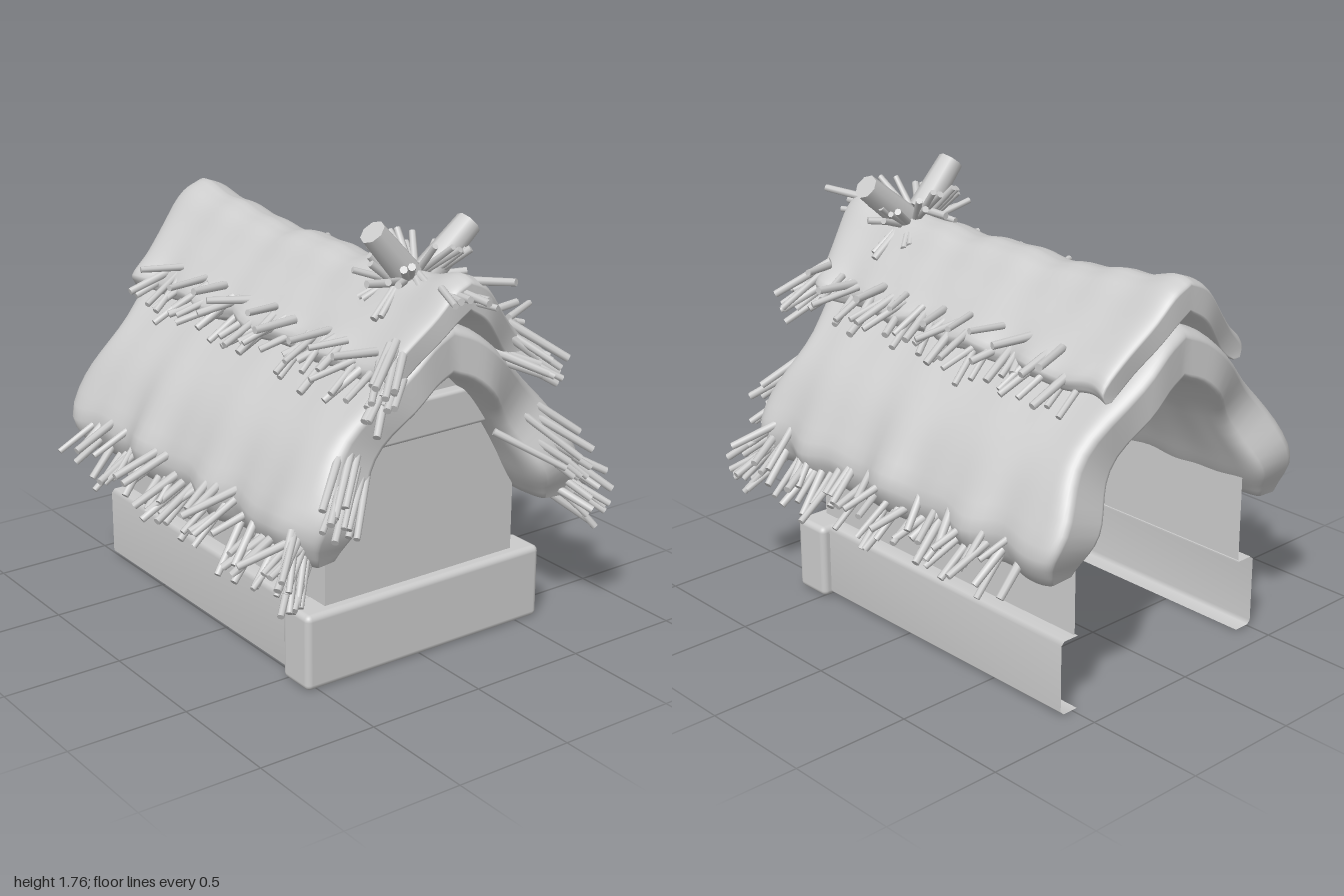
import * as THREE from 'three';
import { RoundedBoxGeometry } from 'three/addons/geometries/RoundedBoxGeometry.js';

const mat = new THREE.MeshStandardMaterial({ color: 0xcccccc, roughness: 0.9, side: THREE.DoubleSide });
const strawGeo = new THREE.CylinderGeometry(0.85, 1, 1, 8);
const UP = new THREE.Vector3(0, 1, 0);

let seed = 11;
const rnd = (a, b) => {
  seed = (seed * 16807) % 2147483647;
  return a + (b - a) * (seed / 2147483647);
};
const bell = x => Math.exp(-x * x);

function add(parent, name, geo, x = 0, y = 0, z = 0) {
  const m = new THREE.Mesh(geo, mat);
  m.name = name;
  m.position.set(x, y, z);
  parent.add(m);
  return m;
}

// A rod that starts at base and runs along dir
function rod(parent, name, base, dir, len, r) {
  const d = new THREE.Vector3(...dir).normalize();
  const m = add(parent, name, strawGeo);
  m.position.set(...base).addScaledVector(d, len / 2);
  m.quaternion.setFromUnitVectors(UP, d);
  m.scale.set(r, len, r);
}

function surface(pos, idx) {
  const g = new THREE.BufferGeometry();
  g.setAttribute('position', new THREE.Float32BufferAttribute(pos, 3));
  g.setIndex(idx);
  return g;
}

// Thatch layer: an arched cross-section swept along z, with soft ends and wavy edges
function thatch({ outer, inner, zFront, zBack, lift, phase, cx, flare, bulgeY }) {
  const N = 20, ROWS = 60, W = 2 * N + 1, ring = 2 * W;
  const sample = pts => {
    const c = new THREE.CatmullRomCurve3(pts.map(p => new THREE.Vector3(p[0], p[1], 0)));
    const half = c.getPoints(N);
    return [...half.slice(1).reverse().map(p => new THREE.Vector3(-p.x, p.y, 0)), ...half];
  };
  const out = sample(outer), inn = sample(inner);
  const pos = [], idx = [];
  const halfW = outer[outer.length - 2][0];
  for (let j = 0; j <= ROWS; j++) {
    const t = (1 - Math.cos(Math.PI * j / ROWS)) / 2;
    const z0 = zFront + (zBack - zFront) * t;
    const endDist = Math.max(0, Math.min(zFront - z0, z0 - zBack));
    const e = Math.min(1, endDist / 0.08);
    const full = 0.6 + 0.4 * Math.sqrt(1 - (1 - e) ** 2);
    const rise = lift * (0.8 * bell((zFront - z0) / 0.25) + 1.1 * bell((z0 - zBack) / 0.3))
      + 0.008 * Math.sin(z0 * 13 + phase) + 0.006 * Math.sin(z0 * 27);
    const edge = Math.max(0, 1 - endDist / 0.25);
    for (let k = 0; k < ring; k++) {
      const i = k < W ? k : ring - 1 - k;
      const p = (k < W ? out : inn)[i], q = (k < W ? inn : out)[i];
      const u = Math.min(1, Math.abs(p.x) / halfW), rim = u ** 5, side = Math.sign(p.x);
      const mx = (p.x + q.x) / 2, my = (p.y + q.y) / 2;
      const wave = Math.sin(z0 * 14 + phase + side) + 0.5 * Math.sin(z0 * 25 + 2 * side);
      const x = (mx + (p.x - mx) * full) * (1 + flare * (t - 0.5)) + side * 0.018 * rim * wave + cx;
      const y = my + (p.y - my) * full + rise * (1 - u) + 0.01 * rim * Math.sin(z0 * 19 + phase * 2);
      pos.push(x, y, z0 + 0.035 * edge * Math.cos(14 * (my - bulgeY)) * Math.sign(z0));
    }
  }
  for (let j = 0; j < ROWS; j++)
    for (let k = 0; k < ring; k++) {
      const a = j * ring + k, b = j * ring + (k + 1) % ring;
      idx.push(a, b, a + ring, b, b + ring, a + ring);
    }
  // Front and back caps
  for (let k = 0; k < W - 1; k++) {
    const a = k, b = k + 1, c = ring - 2 - k, d = ring - 1 - k, o = ROWS * ring;
    idx.push(a, c, b, a, d, c, a + o, b + o, c + o, a + o, c + o, d + o);
  }
  const g = surface(pos, idx);
  g.computeVertexNormals();
  return g;
}

// Hollow sill: a folded sheet open towards the inside
function sideSill(s, cx) {
  const path = [[0.455, 0.015], [0.525, 0.015], [0.54, 0.03], [0.54, 0.305], [0.525, 0.32], [0.455, 0.32]];
  const pos = [], idx = [];
  path.forEach(([x, y]) => pos.push(cx + s * x, y, 0.5, cx + s * x, y, -0.89));
  for (let a = 0; a < 2 * path.length - 2; a += 2) idx.push(a, a + 1, a + 2, a + 1, a + 3, a + 2);
  if (s < 0) idx.reverse();
  const g = surface(pos, idx);
  g.computeVertexNormals();
  return g;
}

export function createModel() {
  seed = 11;
  const model = new THREE.Group();
  const CX = 0.027;

  // Foundation and thin side walls
  add(model, 'frontSill', new RoundedBoxGeometry(1.155, 0.315, 0.17, 3, 0.025), CX, 0.165, 0.565);
  for (const s of [-1, 1]) {
    add(model, 'sideSill', sideSill(s, CX));
    const wall = add(model, 'sideWall', new THREE.PlaneGeometry(1.48, 0.47), CX + s * 0.462, 0.545, -0.14);
    wall.rotation.y = s * Math.PI / 2;
  }

  // Front wall with gable, and the beam across it
  const gable = new THREE.Shape([[-0.462, 0.31], [0.462, 0.31], [0.462, 0.9], [0, 1.26], [-0.462, 0.9]]
    .map(p => new THREE.Vector2(...p)));
  add(model, 'frontWall', new THREE.ShapeGeometry(gable), CX, 0, 0.6);
  add(model, 'frontBeam', new RoundedBoxGeometry(0.83, 0.16, 0.1, 2, 0.015), 0.01, 1.005, 0.6);

  // Two thatch layers
  add(model, 'lowerThatch', thatch({
    outer: [[0, 1.4], [0.1, 1.36], [0.22, 1.27], [0.4, 1.11], [0.53, 0.98], [0.62, 0.84], [0.68, 0.7], [0.63, 0.58]],
    inner: [[0, 1.18], [0.1, 1.14], [0.2, 1.05], [0.3, 0.91], [0.38, 0.78], [0.44, 0.67], [0.5, 0.58]],
    zFront: 0.78, zBack: -0.94, lift: 0.02, phase: 1, cx: 0.012, flare: 0.02, bulgeY: 0.76,
  }));
  add(model, 'upperThatch', thatch({
    outer: [[0, 1.55], [0.08, 1.53], [0.18, 1.44], [0.28, 1.35], [0.36, 1.27], [0.345, 1.22]],
    inner: [[0, 1.4], [0.08, 1.36], [0.17, 1.28], [0.25, 1.21], [0.3, 1.2]],
    zFront: 0.835, zBack: -0.95, lift: 0.07, phase: 2.6, cx: 0.025, flare: 0.14, bulgeY: 1.46,
  }));

  // Straw fringes along both eaves and the front gable edges
  const straw = new THREE.Group();
  straw.name = 'strawFringe';
  model.add(straw);
  const blade = (base, dir, len) => rod(straw, 'straw', base, dir, len, rnd(0.014, 0.019));
  for (const s of [-1, 1]) {
    for (let i = 0; i < 46; i++) {
      const z = 0.74 - i * 0.033 + rnd(-0.02, 0.02);
      blade([0.012 + s * rnd(0.6, 0.66), rnd(0.62, 0.76), z],
        [s, -rnd(0.3, 1.1), rnd(-0.5, 0.4)], rnd(0.17, 0.24));
    }
    for (let i = 0; i < 44; i++) {
      const z = 0.72 - i * 0.034 + rnd(-0.02, 0.02);
      const high = i % 5 === 0;
      blade([0.025 + s * rnd(0.28, 0.33), high ? rnd(1.32, 1.36) : rnd(1.25, 1.33), z],
        [s, high ? rnd(-0.15, 0.1) : -rnd(0.25, 0.75), rnd(-0.5, 0.4)], rnd(0.15, 0.22));
    }
    for (let i = 0; i < 12; i++)
      blade([s * rnd(0.28, 0.45), rnd(0.88, 1.04), 0.7], [s * 0.75, -rnd(0.5, 0.85), rnd(0.5, 0.75)], rnd(0.28, 0.35));
    for (let i = 0; i < 16; i++)
      blade([s * rnd(0.54, 0.66), rnd(0.6, 0.76), 0.7], [s * rnd(0.4, 0.8), -rnd(0.4, 0.8), rnd(0.2, 0.8)], rnd(0.2, 0.28));
    for (let i = 0; i < 16; i++)
      blade([0.02 + s * rnd(0.17, 0.32), rnd(1.24, 1.38), 0.75], [s * rnd(0.6, 0.9), -rnd(0.3, 0.7), rnd(0.25, 0.75)], rnd(0.2, 0.28));
  }
  for (let i = -3; i <= 3; i++)
    blade([i * 0.02, rnd(1.5, 1.58), 0.8], [i * 0.14, rnd(-0.15, 0.3), 1], rnd(0.14, 0.2));

  // Ridge knot: two stout horns in a burst of straw, some of it lying down the slopes
  const knot = new THREE.Group();
  knot.name = 'ridgeKnot';
  model.add(knot);
  rod(knot, 'horn', [-0.02, 1.55, 0.55], [-0.75, 0.85, 0], 0.25, 0.062);
  rod(knot, 'horn', [0.07, 1.54, 0.55], [0.9, 0.75, 0], 0.26, 0.062);
  for (let i = 0; i < 40; i++) {
    const a = i * 2.4, c = Math.cos(a), n = Math.sin(a);
    const h = i % 3 ? rnd(0.1, 1.2) : -0.75 * Math.abs(c);
    rod(knot, 'knotStraw', [0.02 + c * 0.08, 1.58 - Math.abs(c) * 0.06, 0.53 + n * 0.05],
      [c, h, n], rnd(0.13, 0.19), rnd(0.014, 0.018));
  }
  return model;
}
